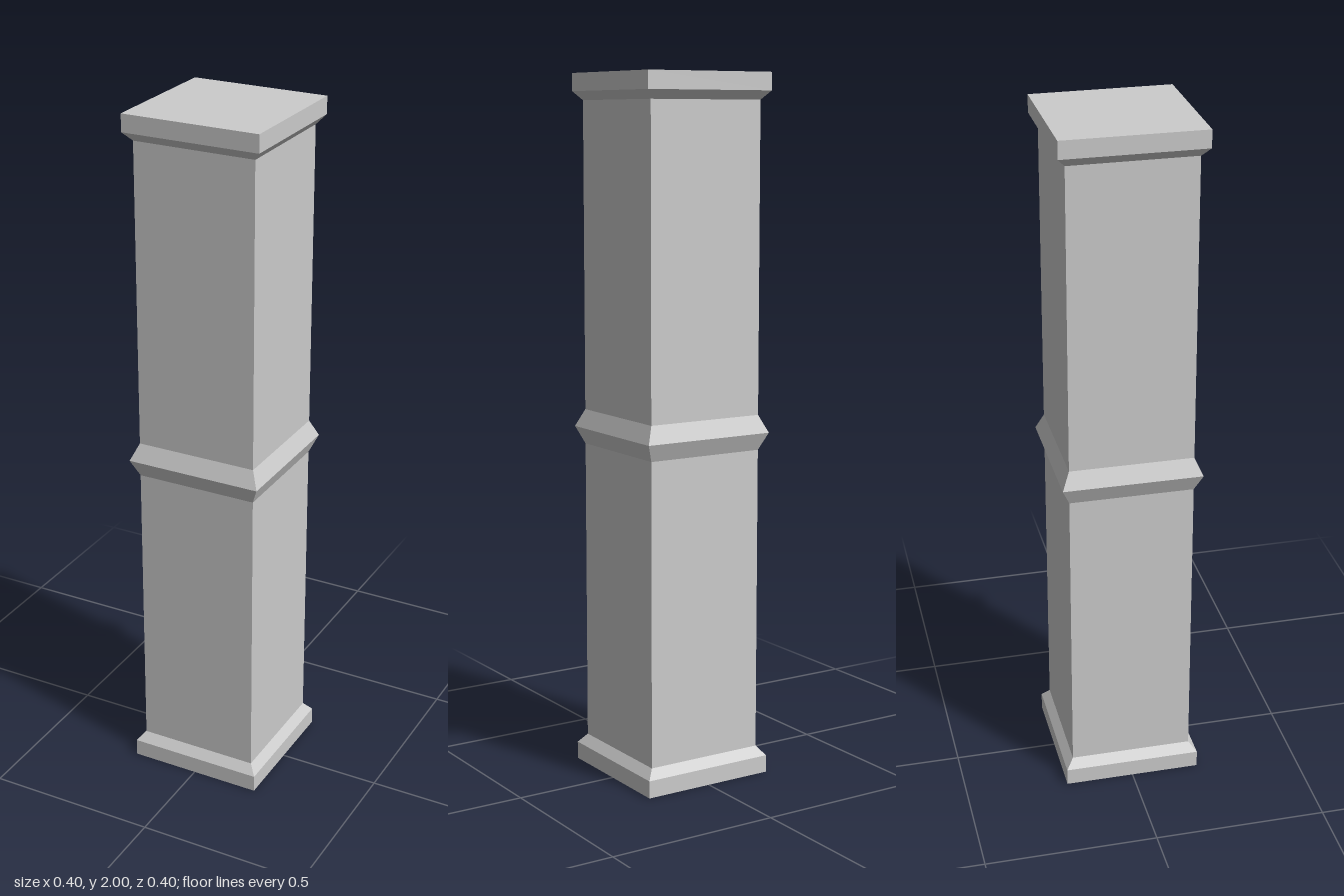
import * as THREE from 'three';

const OUTER = 0.2;   // half width of base, band and cap
const SHAFT = 0.178; // half width of the shaft

// Square section swept around the y axis; profile is [half width, height], bottom to top
function squarePart(name, profile, material) {
  const points = profile.map(([half, y]) => new THREE.Vector2(half * Math.SQRT2, y));
  const geometry = new THREE.LatheGeometry(points, 4, Math.PI / 4);
  const mesh = new THREE.Mesh(geometry, material);
  mesh.name = name;
  return mesh;
}

export function createModel() {
  const group = new THREE.Group();
  group.name = 'pillar';
  const material = new THREE.MeshStandardMaterial({ color: 0xcccccc, flatShading: true });

  const parts = {
    // Plinth with a bevel up to the shaft
    base: [[0, 0], [OUTER, 0], [OUTER, 0.05], [SHAFT, 0.077]],
    lowerShaft: [[SHAFT, 0.077], [SHAFT, 0.95]],
    // Pointed ridge around the middle
    middleBand: [[SHAFT, 0.95], [OUTER, 1], [SHAFT, 1.05]],
    upperShaft: [[SHAFT, 1.05], [SHAFT, 1.925]],
    // Flat slab with a bevel beneath
    cap: [[SHAFT, 1.925], [OUTER, 1.95], [OUTER, 2], [0, 2]],
  };
  for (const [name, profile] of Object.entries(parts)) {
    group.add(squarePart(name, profile, material));
  }
  return group;
}
